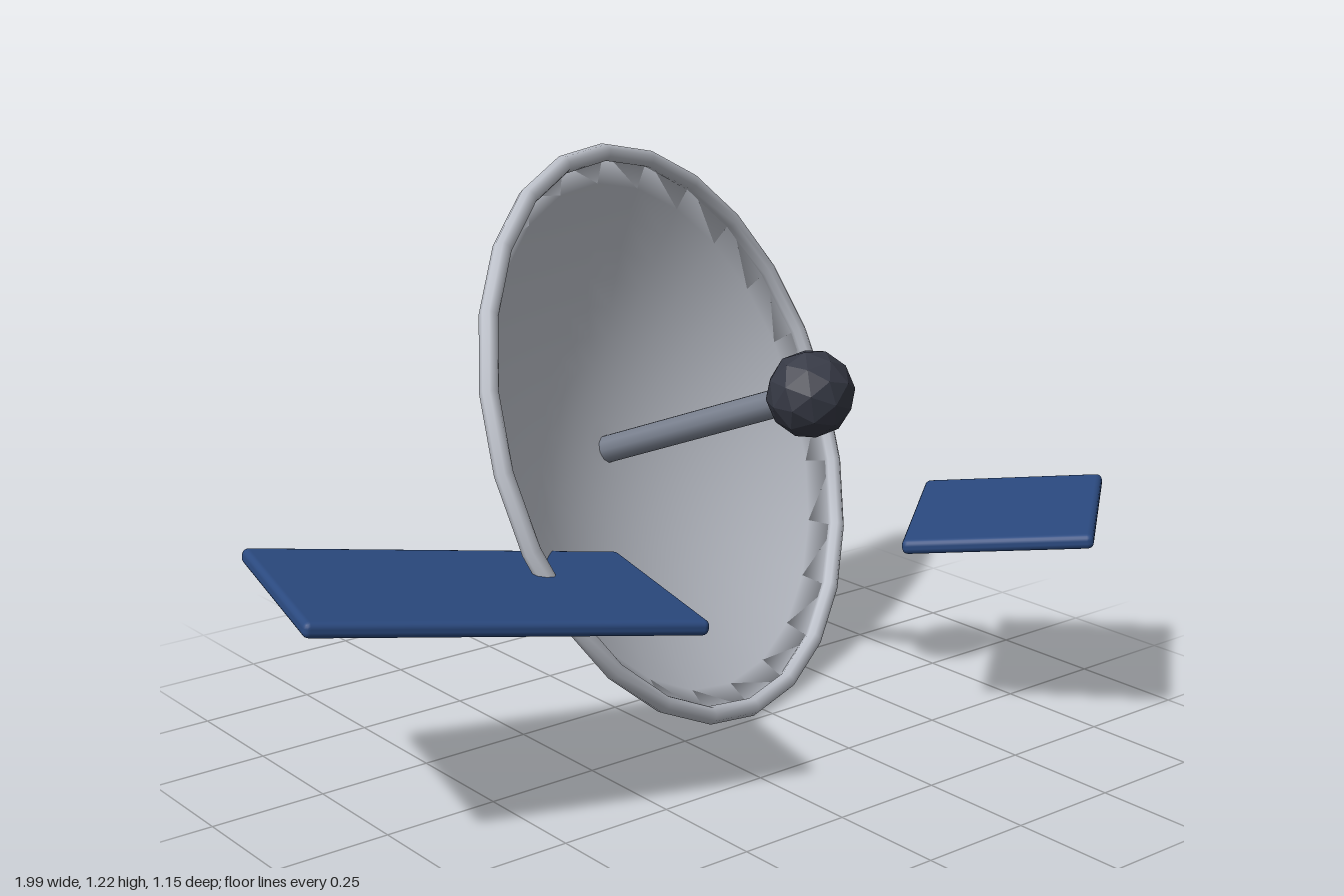
import * as THREE from 'three';
import { RoundedBoxGeometry } from 'three/addons/geometries/RoundedBoxGeometry.js';

function mat(name, color) {
  const m = new THREE.MeshStandardMaterial({ color });
  m.name = name;
  return m;
}

function part(parent, name, geometry, material, y = 0) {
  const mesh = new THREE.Mesh(geometry, material);
  mesh.name = name;
  mesh.position.y = y;
  parent.add(mesh);
  return mesh;
}

// Thin slab spanning edge vectors u (length) and v (width) around a centre
function panel(parent, name, material, centre, u, v) {
  const x = new THREE.Vector3(...u), z = new THREE.Vector3(...v);
  const geo = new RoundedBoxGeometry(x.length(), 0.032, z.length(), 2, 0.013);
  x.normalize();
  const y = new THREE.Vector3().crossVectors(z, x).normalize();
  z.crossVectors(x, y);
  const mesh = part(parent, name, geo, material);
  mesh.quaternion.setFromRotationMatrix(new THREE.Matrix4().makeBasis(x, y, z));
  mesh.position.set(...centre);
}

export function createModel() {
  const shell = mat('pale grey', 0xbec2cb);
  const steel = mat('steel grey', 0x767d8b);
  const dark = mat('dark slate', 0x363945);
  const blue = mat('panel blue', 0x2b4a80);

  const model = new THREE.Group();
  model.name = 'dishAntenna';

  // Dish assembly: local +y is the dish axis, rim plane at y = 0
  const dish = new THREE.Group();
  dish.name = 'dishAssembly';
  dish.position.set(0.185, 0.6175, -0.255);
  const axis = new THREE.Vector3(0.32, 0.355, 0.878).normalize();
  dish.quaternion.setFromUnitVectors(new THREE.Vector3(0, 1, 0), axis);
  model.add(dish);

  // Parabolic shell: outer skin up to the rim, inner skin back to the middle
  const R = 0.64, steps = 10, profile = [];
  const curve = (t, depth) => new THREE.Vector2(R * t, depth * (t * t - 1));
  for (let i = 0; i <= steps; i++) profile.push(curve(i / steps, 0.22));
  for (let i = steps - 1; i >= 0; i--) profile.push(curve(i / steps, 0.2));
  part(dish, 'dishShell', new THREE.LatheGeometry(profile, 24), shell);

  // Rolled rim
  const rim = new THREE.TorusGeometry(R - 0.003, 0.02, 8, 24).rotateX(Math.PI / 2);
  part(dish, 'dishRim', rim, shell);

  // Feed rod and receiver ball
  part(dish, 'feedRod', new THREE.CylinderGeometry(0.032, 0.032, 0.55, 10), steel, 0.075);
  const ballMat = dark;
  ballMat.flatShading = true;
  part(dish, 'receiverBall', new THREE.IcosahedronGeometry(0.096, 1), ballMat, 0.354);

  // Loose solar panels
  panel(model, 'largePanel', blue, [-0.55, 0.474, 0.025], [0.772, -0.113, 0.207], [-0.13, 0, 0.464]);
  panel(model, 'smallPanel', blue, [0.685, 0.455, 0.272], [0.372, 0, -0.302], [0.258, 0.04, 0.306]);

  return model;
}
